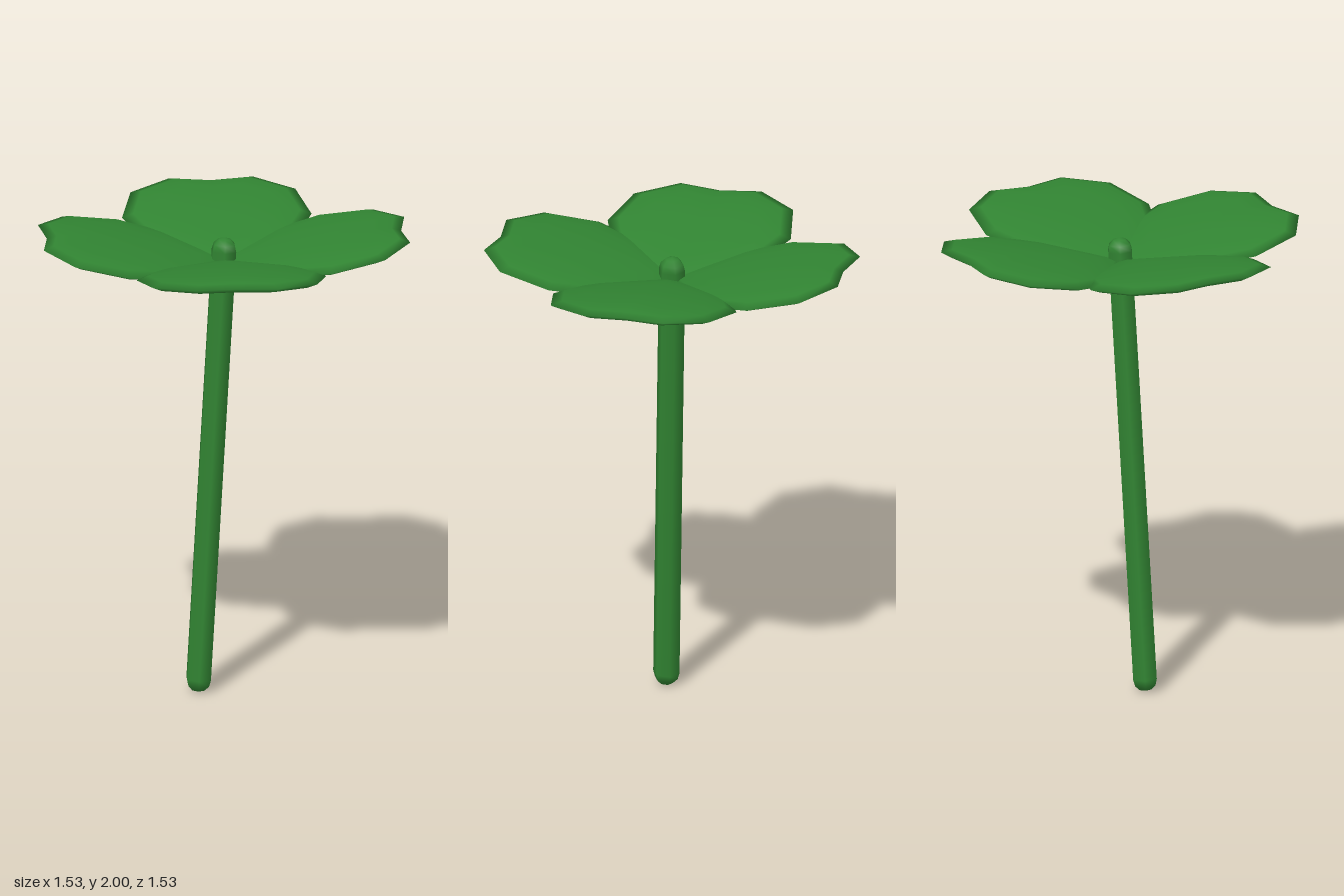
import * as THREE from 'three';
import { mergeVertices } from 'three/addons/utils/BufferGeometryUtils.js';

const green = new THREE.MeshStandardMaterial({ color: 0x318432 });

// One domed, upward-tilted leaf pointing to +z: scaled outlines run from the
// top centre, over the thin rim, to the bottom centre
function leafGeometry() {
  const half = [[0.31, 0.2], [0.397, 0.425], [0.345, 0.65], [0.175, 0.767]];
  const outline = [[0, -0.03], ...half, [0, 0.742], ...half.map(([x, z]) => [-x, z]).reverse()];
  const dome = [[0, 0.041], [0.35, 0.038], [0.65, 0.031], [0.88, 0.019]];
  const rings = [...dome, [1, 0], ...dome.map(([s, lift]) => [s, -lift]).reverse()];
  const n = outline.length, last = rings.length - 2, midZ = 0.41;
  const positions = [], index = [];
  for (const [scale, lift] of rings) {
    for (const [px, pz] of outline) {
      const z = midZ + (pz - midZ) * scale;
      positions.push(px * scale, 1.858 + 0.17 * z + lift, z);
    }
  }
  for (let r = 0; r <= last; r++) {
    for (let i = 0; i < n; i++) {
      const a = r * n + i, b = r * n + (i + 1) % n, c = b + n, d = a + n;
      if (r > 0) index.push(a, b, c);
      if (r < last) index.push(a, c, d);
      else continue;
      if (r === 0) continue;
    }
  }
  const geometry = new THREE.BufferGeometry();
  geometry.setAttribute('position', new THREE.Float32BufferAttribute(positions, 3));
  geometry.setIndex(index);
  const merged = mergeVertices(geometry, 1e-4);
  merged.computeVertexNormals();
  return merged;
}

export function createModel() {
  const group = new THREE.Group();
  group.name = 'fourLeafClover';

  // Four leaves around the centre, overlapping along the diagonals
  const leaf = leafGeometry();
  for (let i = 0; i < 4; i++) {
    const mesh = new THREE.Mesh(leaf, green);
    mesh.name = `leaf${i + 1}`;
    mesh.rotation.y = i * Math.PI / 2;
    group.add(mesh);
  }

  // Leaning six-sided stem whose rounded top pokes through the leaves
  const radius = 0.057;
  const foot = new THREE.Vector3(-0.11, radius, 0.055);
  const tip = new THREE.Vector3(0, 1.915, 0);
  const axis = tip.clone().sub(foot);
  const stem = new THREE.Mesh(
    new THREE.CapsuleGeometry(radius, axis.length(), 3, 6).rotateY(Math.PI / 2), green);
  stem.name = 'stem';
  stem.position.copy(foot).add(tip).multiplyScalar(0.5);
  stem.quaternion.setFromUnitVectors(new THREE.Vector3(0, 1, 0), axis.normalize());
  group.add(stem);

  return group;
}
